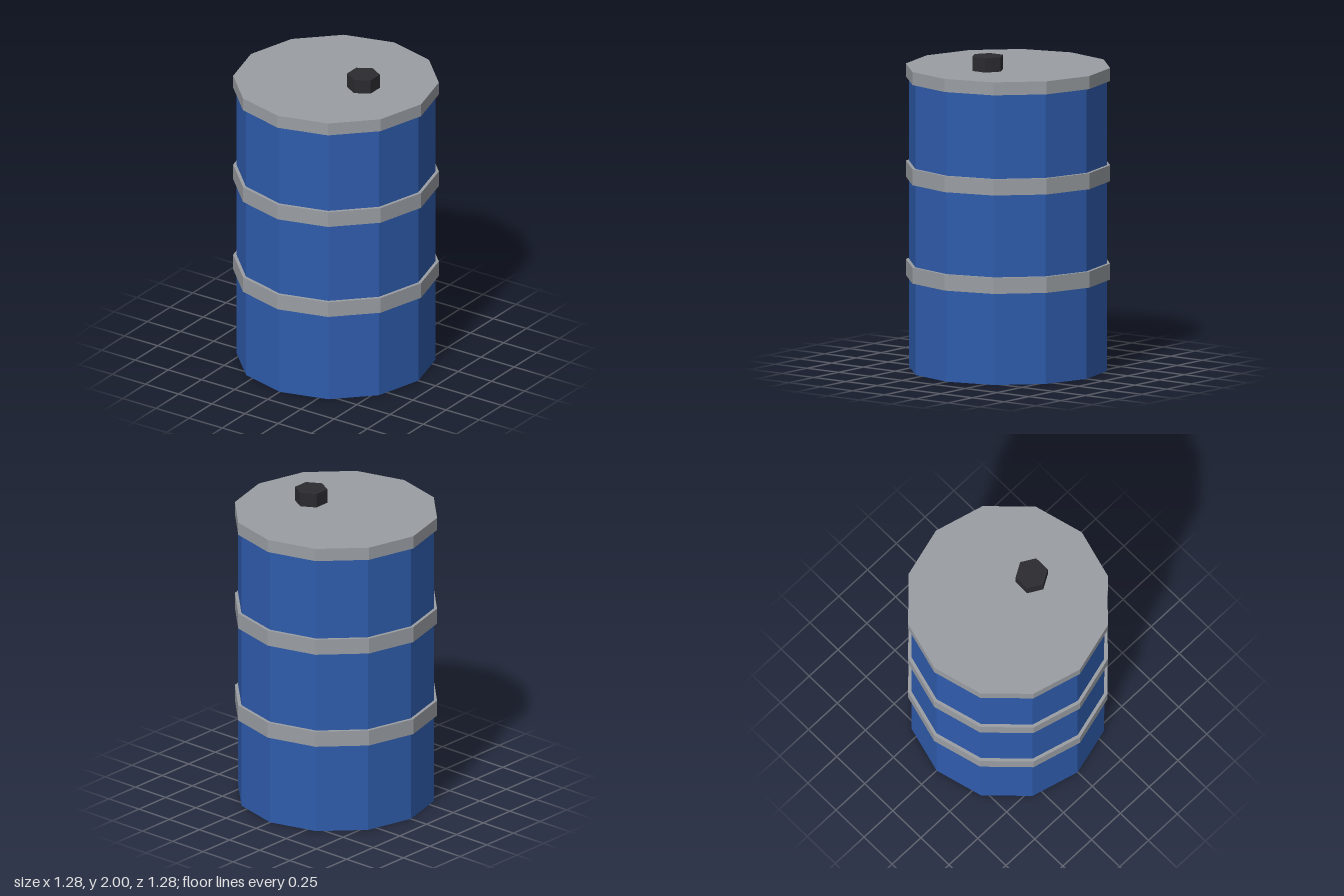
import * as THREE from 'three';

const material = (color) => new THREE.MeshStandardMaterial({ color, flatShading: true });

export function createModel() {
  const group = new THREE.Group();
  const blue = material(0x2f5cad);
  const steel = material(0x9a9ea3);
  const dark = material(0x2b2b30);

  // Upright prism spanning y0..y1
  function prism(name, radius, y0, y1, sides, mat, x = 0) {
    const mesh = new THREE.Mesh(new THREE.CylinderGeometry(radius, radius, y1 - y0, sides), mat);
    mesh.name = name;
    mesh.position.set(x, (y0 + y1) / 2, 0);
    group.add(mesh);
  }

  // Twelve-sided drum body
  prism('body', 0.62, 0, 1.87, 12, blue);

  // Two reinforcing hoops
  prism('lowerHoop', 0.641, 0.577, 0.678, 12, steel);
  prism('upperHoop', 0.641, 1.197, 1.298, 12, steel);

  // Lid and its off-centre hexagonal bung
  prism('lid', 0.641, 1.828, 1.91, 12, steel);
  prism('bung', 0.103, 1.9, 2, 6, dark, 0.206);

  return group;
}
